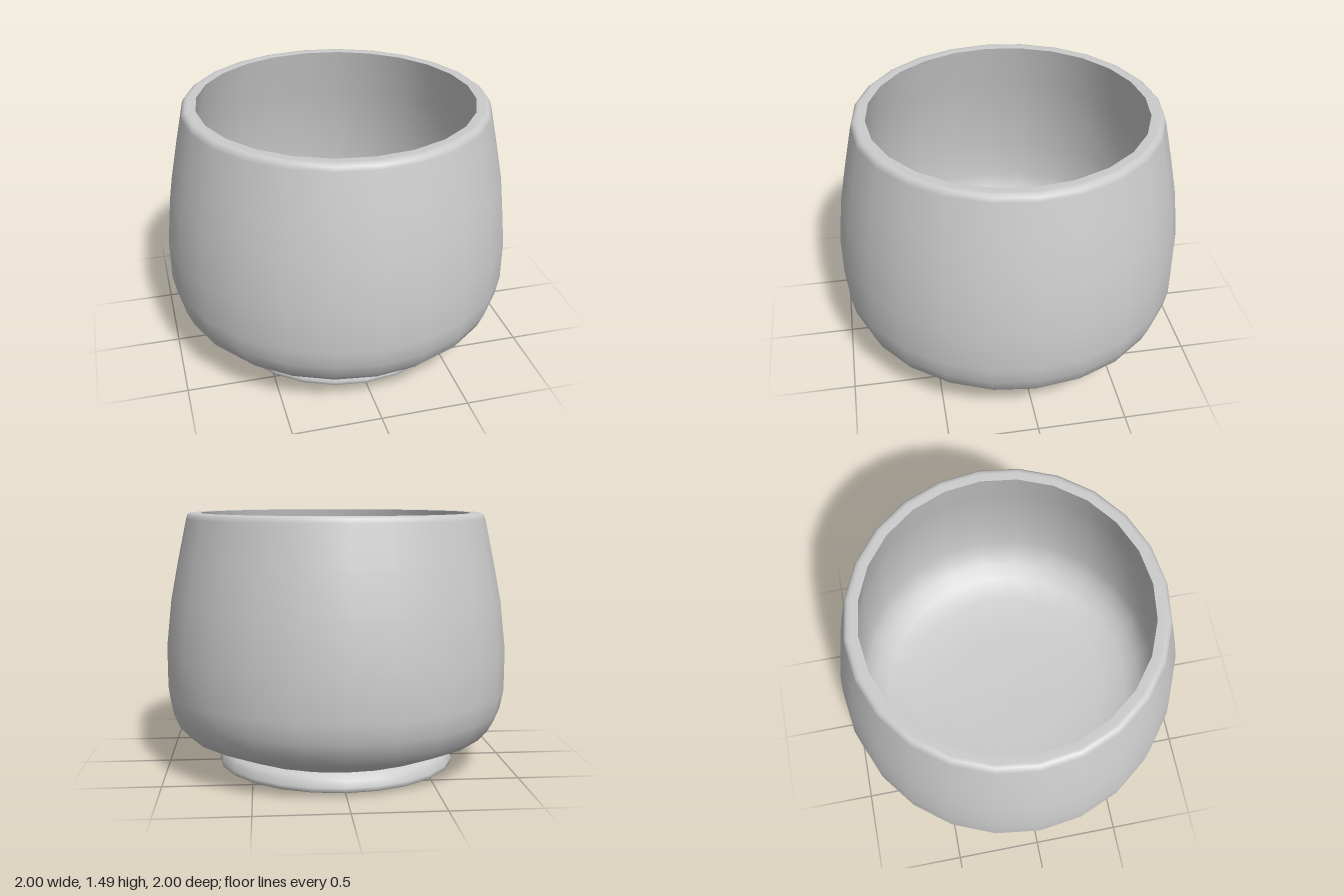
import * as THREE from 'three';

const SIDES = 24;

export function createModel() {
  const cup = new THREE.Group();
  cup.name = 'cup';
  const material = new THREE.MeshStandardMaterial({ color: 0xcccccc });

  // Revolve a [radius, height] profile; each separate mesh keeps a sharp edge to the next
  function turned(name, profile) {
    const points = profile.map(([r, y]) => new THREE.Vector2(r, y));
    const mesh = new THREE.Mesh(new THREE.LatheGeometry(points, SIDES), material);
    mesh.name = name;
    cup.add(mesh);
  }

  // Flat underside and flared foot ring
  turned('base', [[0, 0], [0.685, 0]]);
  turned('foot', [
    [0.685, 0], [0.7, 0.01], [0.7, 0.03], [0.688, 0.065], [0.672, 0.085], [0.64, 0.103],
  ]);

  // Bulging outer wall, rolled over at the lip
  turned('outerWall', [
    [0.64, 0.1], [0.89, 0.205], [0.945, 0.265], [0.98, 0.35], [1, 0.46], [1, 0.7],
    [0.968, 0.98], [0.92, 1.22], [0.87, 1.45], [0.863, 1.472], [0.848, 1.484], [0.83, 1.486],
    [0.787, 1.484],
  ]);

  // Hollow inside, running from the lip down to the rounded floor
  turned('innerWall', [
    [0.787, 1.484], [0.797, 1.44], [0.85, 1.2], [0.895, 0.98], [0.925, 0.7], [0.925, 0.48],
    [0.9, 0.38], [0.85, 0.3], [0.77, 0.245], [0.62, 0.2], [0.35, 0.18], [0, 0.175],
  ]);

  return cup;
}
